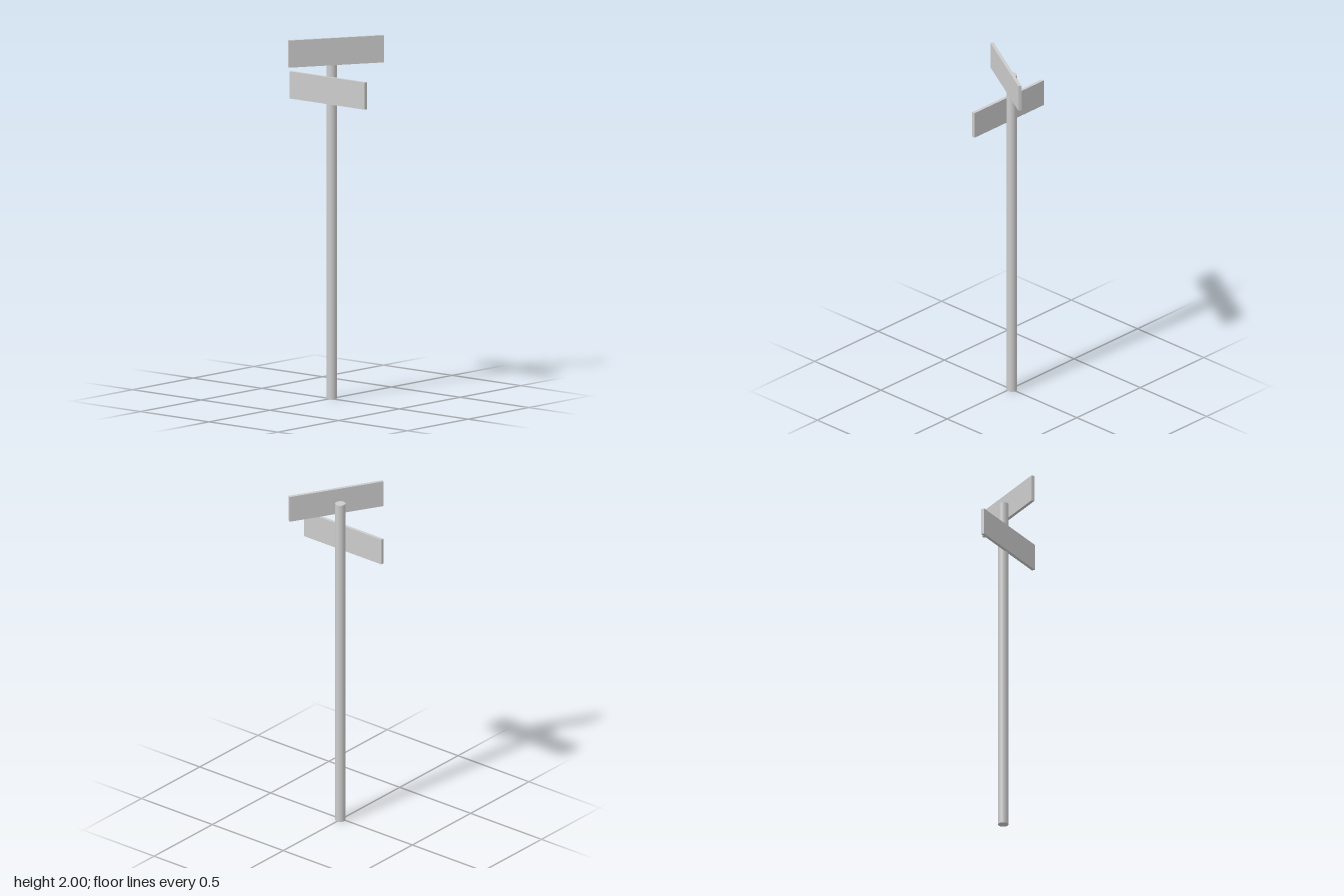
import * as THREE from 'three';

export function createModel() {
  const group = new THREE.Group();
  const material = new THREE.MeshStandardMaterial({ color: 0xcccccc });

  const add = (name, geometry, x, y, z, turn = 0) => {
    const mesh = new THREE.Mesh(geometry, material);
    mesh.name = name;
    mesh.position.set(x, y, z);
    mesh.rotation.y = turn;
    group.add(mesh);
  };

  // Round post, ending halfway up the upper board
  const postHeight = 1.925;
  add('post', new THREE.CylinderGeometry(0.0285, 0.0285, postHeight, 32), 0, postHeight / 2, -0.01);

  // Two equal boards fixed to the post, the upper one turned 60 degrees
  const board = new THREE.BoxGeometry(0.545, 0.15, 0.018);
  add('lowerBoard', board, 0, 1.707, 0.0195);
  add('upperBoard', board, 0.038, 1.925, -0.001, Math.PI / 3);

  return group;
}
